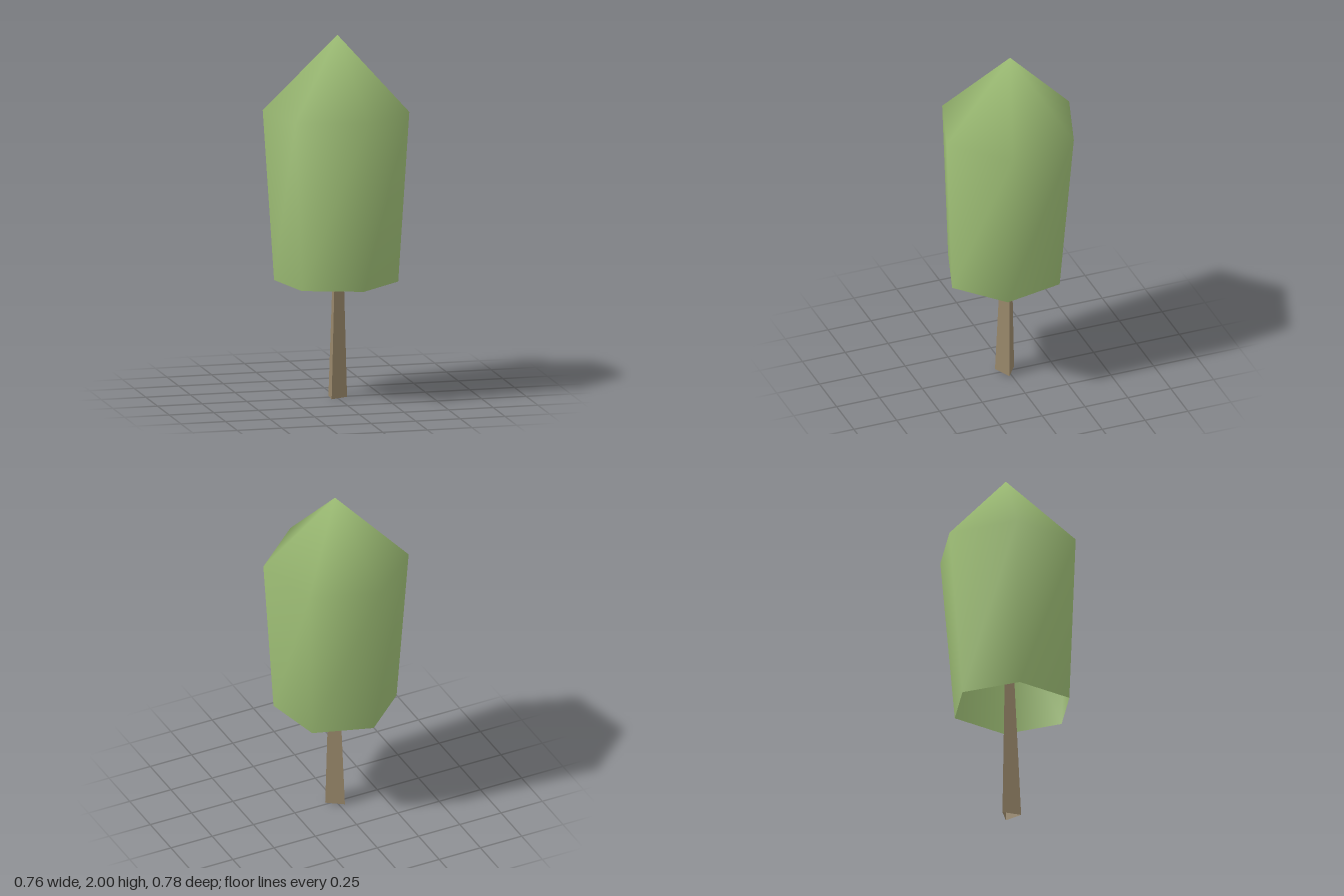
import * as THREE from 'three';
import { mergeVertices } from 'three/addons/utils/BufferGeometryUtils.js';

// Open tube through polygon rings, each given as [radius, x, y, z]
function loft(rings, sides, angle) {
  const positions = [], index = [];
  for (const [r, x, y, z] of rings) {
    for (let i = 0; i < sides; i++) {
      const a = angle + (i / sides) * Math.PI * 2;
      positions.push(x + r * Math.sin(a), y, z + r * Math.cos(a));
    }
  }
  for (let k = 0; k < rings.length - 1; k++) {
    for (let i = 0; i < sides; i++) {
      const j = (i + 1) % sides;
      const a = k * sides + i, b = k * sides + j;
      const c = b + sides, d = a + sides;
      index.push(a, b, c);
      if (rings[k + 1][0] > 0) index.push(a, c, d); // skip collapsed faces at a tip
    }
  }
  const geometry = new THREE.BufferGeometry();
  geometry.setAttribute('position', new THREE.Float32BufferAttribute(positions, 3));
  geometry.setIndex(index);
  const merged = mergeVertices(geometry, 1e-5);
  merged.computeVertexNormals();
  return merged;
}

export function createModel() {
  const leafGreen = new THREE.MeshStandardMaterial({ color: 0x9cbc74, side: THREE.DoubleSide });
  leafGreen.name = 'leafGreen';
  const barkBrown = new THREE.MeshStandardMaterial({ color: 0x98876a, side: THREE.DoubleSide });
  barkBrown.name = 'barkBrown';

  const tree = new THREE.Group();
  tree.name = 'tree';

  // Smooth six-sided crown, hollow and open underneath
  const crown = new THREE.Mesh(loft([
    [0.337, -0.005, 0.646, 0.022],
    [0.398, 0, 1.58, 0],
    [0, 0.01, 2, -0.008],
  ], 6, 0.207), leafGreen);
  crown.name = 'crown';

  // Faceted three-sided trunk, tapering up into the crown
  const trunkGeometry = loft([
    [0.0623, -0.004, 0, 0.009],
    [0.025, 0.008, 1, 0.005],
  ], 3, -0.615).toNonIndexed();
  trunkGeometry.computeVertexNormals();
  const trunk = new THREE.Mesh(trunkGeometry, barkBrown);
  trunk.name = 'trunk';

  tree.add(crown, trunk);
  return tree;
}
